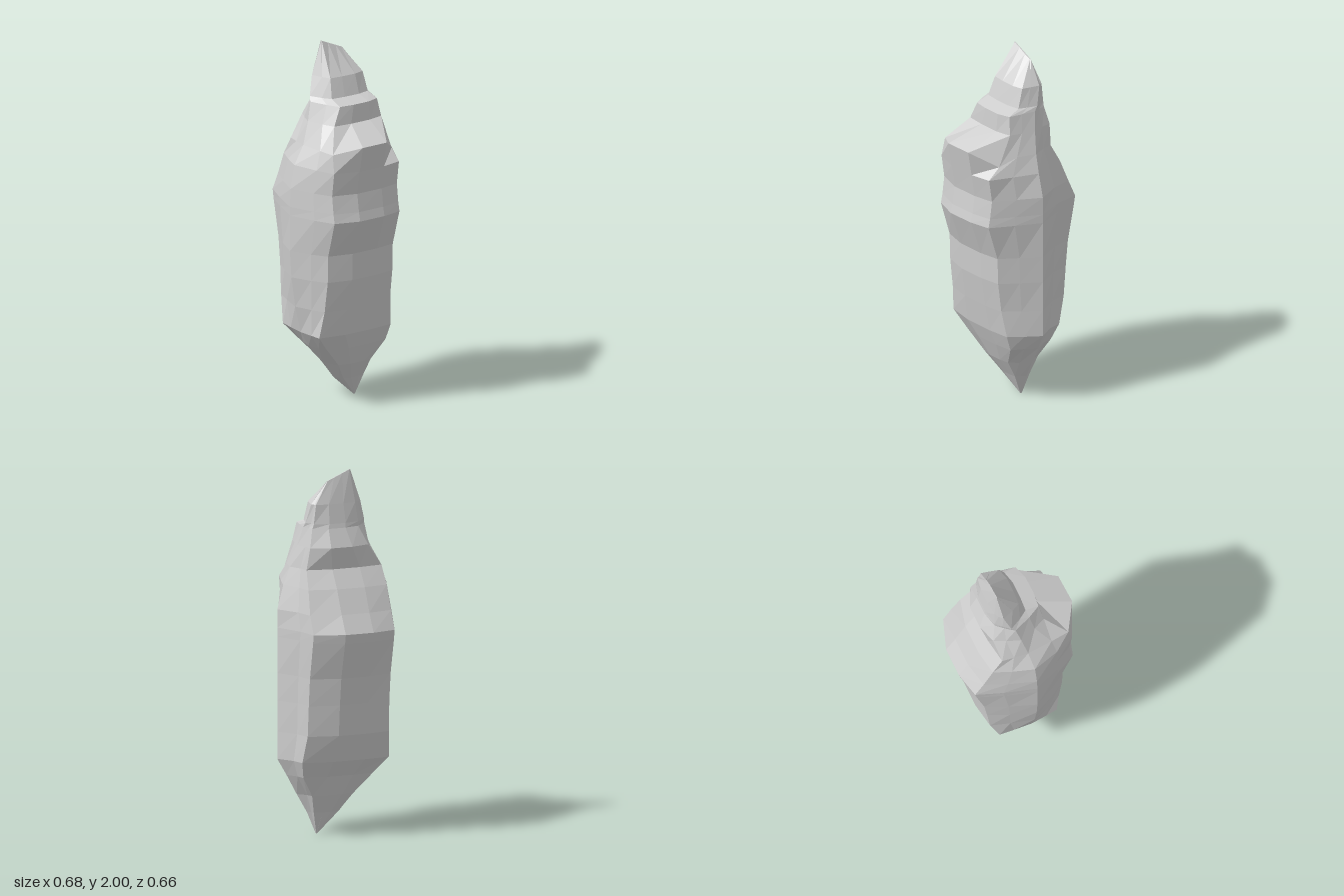
import * as THREE from 'three';

// Cross-sections from the pointed base to the peak
// y, left x, right x, mid x, front z, back z, front corner z, back corner z
const SECTIONS = [
  [0.00, -0.02, -0.01, -0.015, -0.105, -0.115, -0.108, -0.112],
  [0.12, -0.06, 0.05, -0.01, 0.03, -0.165, 0.00, -0.13],
  [0.22, -0.105, 0.11, 0.00, 0.11, -0.22, 0.07, -0.14],
  [0.33, -0.145, 0.155, 0.00, 0.20, -0.28, 0.17, -0.21],
  [0.42, -0.195, 0.19, 0.01, 0.26, -0.33, 0.245, -0.22],
  [0.57, -0.245, 0.215, 0.01, 0.295, -0.33, 0.225, -0.20],
  [0.74, -0.262, 0.24, 0.01, 0.32, -0.33, 0.22, -0.20],
  [0.89, -0.28, 0.245, 0.01, 0.33, -0.33, 0.22, -0.20],
  [1.09, -0.33, 0.315, 0.01, 0.33, -0.33, 0.22, -0.20],
  [1.14, -0.34, 0.303, 0.01, 0.33, -0.33, 0.22, -0.20],
  [1.24, -0.285, 0.288, 0.01, 0.325, -0.33, 0.22, -0.20],
  [1.37, -0.225, 0.31, 0.01, 0.30, -0.295, 0.22, -0.20],
  [1.49, -0.165, 0.335, 0.00, 0.235, -0.26, 0.215, -0.20],
  [1.59, -0.19, 0.15, -0.02, 0.19, -0.225, 0.13, -0.19],
  [1.69, -0.15, 0.14, -0.04, 0.16, -0.20, 0.085, -0.17],
  [1.715, -0.145, 0.06, -0.06, 0.15, -0.195, 0.085, -0.16],
  [1.82, -0.13, 0.025, -0.09, 0.115, -0.175, 0.07, -0.15],
  [2.00, -0.103, -0.097, -0.10, 0.05, -0.09, 0.045, -0.08],
];

// How far each corner reaches toward the side: right front, right back, left back, left front
const BODY = [0.86, 0.89, 0.83, 0.91];
const SHOULDER = [0.74, 0.62, 0.80, 0.88];
const CROWN = [0.95, 0.85, 0.70, 0.82];

// Fourteen-sided ring: rounded front and back, flat side panels with corners
function ring([y, xL, xR, cx, zF, zB, cF, cB]) {
  const mix = THREE.MathUtils.lerp;
  const reach = y > 1.5 ? CROWN : y > 1.4 ? SHOULDER : BODY;
  const [rf, rb, lb, lf] = reach.map((f, i) => mix(cx, i < 2 ? xR : xL, f));
  const zf = mix(zF, cF, 0.5), zb = mix(zB, cB, 0.5);
  const s1 = mix(cB, cF, 0.67), s2 = mix(cB, cF, 0.28);
  const pts = [
    [cx, zF], [mix(cx, rf, 0.58), zf], [rf, cF], [xR, s1], [xR * 0.98, s2], [rb, cB],
    [mix(cx, rb, 0.52), zb], [cx, zB], [mix(cx, lb, 0.55), zb], [lb, mix(cB, zB, 0.35)],
    [xL, s2], [xL, s1], [lf, cF], [mix(cx, lf, 0.55), zf],
  ];
  // the crest falls toward the back; the shoulder ring is lower at its corners
  return pts.map(([x, z], i) => {
    let py = y;
    if (y === 2) py -= 0.06 * (0.05 - z) / 0.14;
    if (y === 1.49) py += (i === 3 || i === 4) ? 0.02 : (i === 5 ? -0.06 : -0.02);
    return new THREE.Vector3(x, py, z);
  });
}

export function createModel() {
  const stone = new THREE.MeshStandardMaterial({ color: 0xcecece });
  stone.name = 'light grey stone';

  const rings = SECTIONS.map(ring);
  const n = rings[0].length;
  const tris = [];
  for (let r = 0; r < rings.length - 1; r++) {
    for (let i = 0; i < n; i++) {
      const j = (i + 1) % n, a = rings[r], b = rings[r + 1];
      tris.push(a[i], a[j], b[j], a[i], b[j], b[i]);
    }
  }
  // close the tip and the crest
  const first = rings[0], last = rings[rings.length - 1];
  for (let i = 1; i < n - 1; i++) {
    tris.push(first[0], first[i + 1], first[i], last[0], last[i], last[i + 1]);
  }

  const geometry = new THREE.BufferGeometry().setFromPoints(tris);
  geometry.computeVertexNormals(); // unshared corners give flat facets

  const rock = new THREE.Mesh(geometry, stone);
  rock.name = 'rock';
  const group = new THREE.Group();
  group.name = 'standing rock';
  group.add(rock);
  return group;
}
